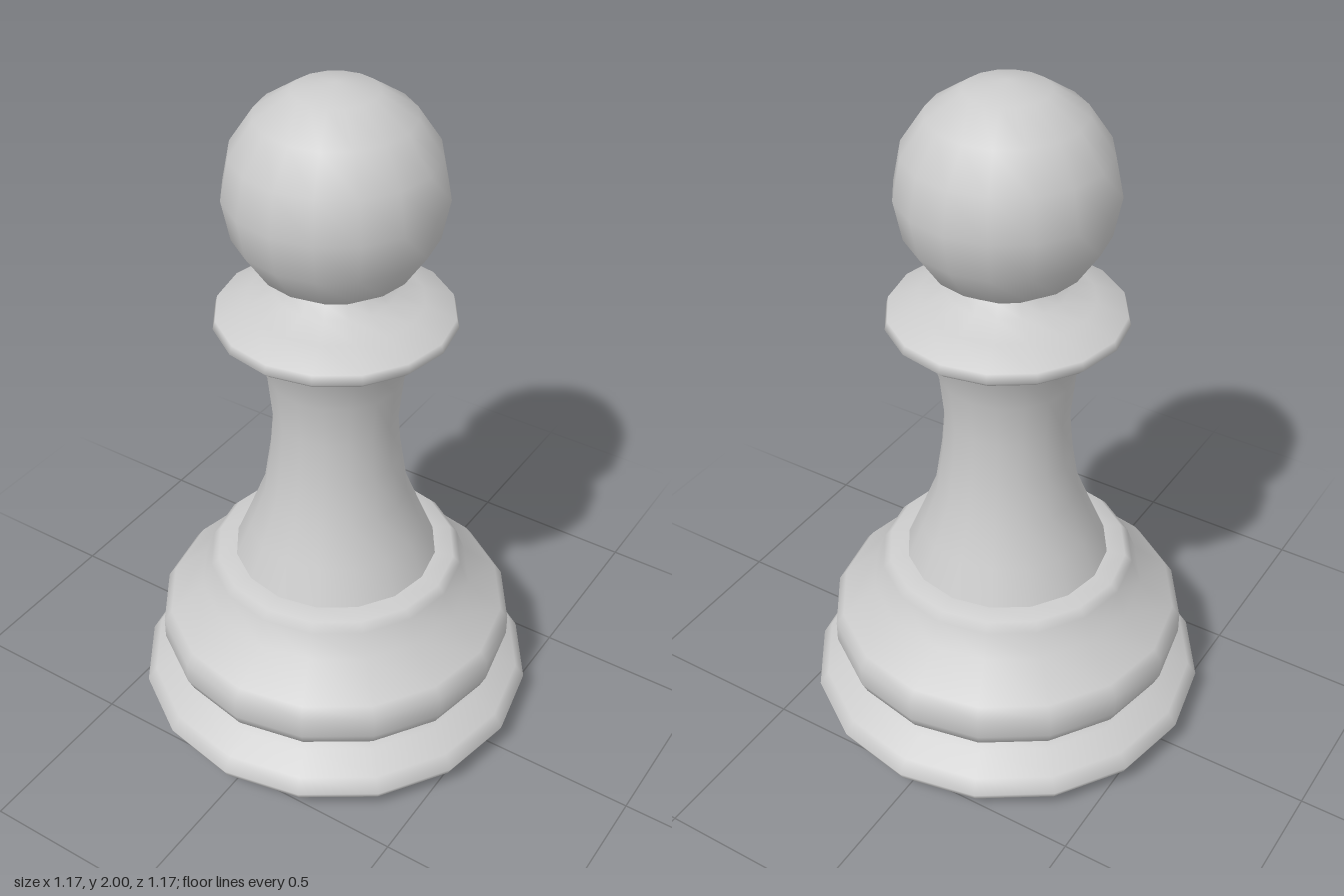
import * as THREE from 'three';

const SIDES = 16;
const material = new THREE.MeshStandardMaterial({ color: 0xcccccc });

// Turned part from [radius, height] pairs, listed bottom to top
function turned(name, profile) {
  const points = profile.map(([r, y]) => new THREE.Vector2(r, y));
  const mesh = new THREE.Mesh(new THREE.LatheGeometry(points, SIDES), material);
  mesh.name = name;
  return mesh;
}

export function createModel() {
  const pawn = new THREE.Group();
  pawn.name = 'chessPawn';

  // Foot ring with flat underside, rising into a groove
  pawn.add(turned('foot', [
    [0, 0], [0.5, 0], [0.53, 0.012], [0.575, 0.06], [0.587, 0.085],
    [0.56, 0.125], [0.485, 0.162], [0.465, 0.185],
  ]));

  // Bulging base and its shoulder
  pawn.add(turned('base', [
    [0.465, 0.185], [0.505, 0.215], [0.523, 0.255], [0.523, 0.318], [0.5, 0.35],
    [0.4, 0.435], [0.372, 0.51], [0.35, 0.533], [0.295, 0.54],
  ]));

  // Waisted stem
  pawn.add(turned('stem', [
    [0.298, 0.535], [0.255, 0.64], [0.208, 0.76], [0.188, 0.89], [0.177, 1.02],
    [0.19, 1.15], [0.215, 1.24], [0.245, 1.295],
  ]));

  // Collar under the head
  pawn.add(turned('collar', [
    [0.235, 1.29], [0.255, 1.298], [0.31, 1.308], [0.332, 1.328], [0.325, 1.353],
    [0.24, 1.387], [0.165, 1.415], [0.14, 1.445], [0.13, 1.46],
  ]));

  // Round head
  const head = new THREE.Mesh(new THREE.SphereGeometry(0.296, SIDES, 8), material);
  head.name = 'head';
  head.position.y = 1.704;
  pawn.add(head);

  return pawn;
}
